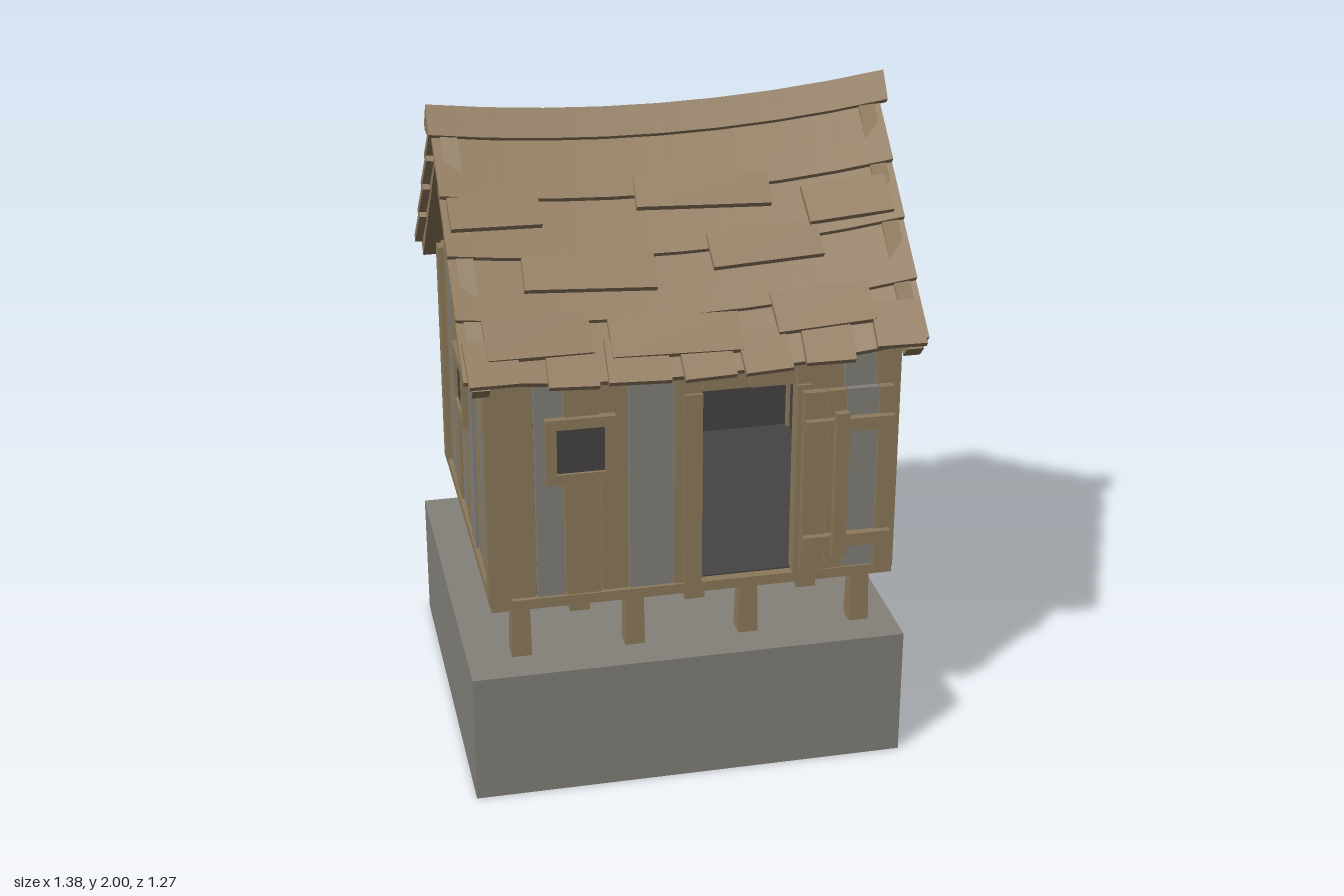
import * as THREE from 'three';
import { toCreasedNormals } from 'three/addons/utils/BufferGeometryUtils.js';

const mat = (name, color, side = THREE.FrontSide) => {
  const m = new THREE.MeshStandardMaterial({ color, side });
  m.name = name;
  return m;
};

export function createModel() {
  const wood = mat('brown wood', 0x8d7a5c);
  const roofWood = mat('roof wood', 0x937d60);
  const grey = mat('weathered grey', 0x84817a);
  const dark = mat('dark interior', 0x474345, THREE.DoubleSide);
  const model = new THREE.Group();

  const add = (name, geo, m, parent = model) => {
    const mesh = new THREE.Mesh(geo, m);
    mesh.name = name;
    parent.add(mesh);
    return mesh;
  };
  const group = (name) => {
    const g = new THREE.Group();
    g.name = name;
    model.add(g);
    return g;
  };
  // Box given by its minimum and maximum on each axis
  const box = (name, m, x0, x1, y0, y1, z0, z1, parent) => {
    const mesh = add(name, new THREE.BoxGeometry(x1 - x0, y1 - y0, z1 - z0), m, parent);
    mesh.position.set((x0 + x1) / 2, (y0 + y1) / 2, (z0 + z1) / 2);
    return mesh;
  };

  // Stone base, stilts and floor framing
  box('stoneBase', grey, -0.69, 0.63, 0, 0.41, -0.57, 0.62);
  const under = group('floorFrame');
  for (const x of [-0.525, -0.18, 0.17, 0.52])
    for (const z of [-0.475, 0.478]) {
      const stilt = add('stilt', new THREE.CylinderGeometry(0.038, 0.043, 0.19, 4, 1).rotateY(Math.PI / 4), wood, under);
      stilt.geometry = stilt.geometry.toNonIndexed();
      stilt.geometry.computeVertexNormals();
      stilt.position.set(x, 0.495, z);
    }
  for (const x of [-0.35, 0, 0.345]) box('joist', wood, x - 0.03, x + 0.03, 0.553, 0.59, -0.52, 0.52, under);
  box('floorSlab', wood, -0.615, 0.61, 0.58, 0.612, -0.53, 0.53, under);

  // Dark room behind the doorway
  const room = group('room');
  box('roomBack', dark, -0.57, 0.56, 0.613, 1.33, -0.49, -0.485, room);
  for (const x of [-0.57, 0.56]) box('roomSide', dark, x - 0.003, x + 0.003, 0.613, 1.33, -0.485, 0.485, room);
  box('roomFloor', dark, -0.57, 0.56, 0.612, 0.616, -0.485, 0.5, room);
  box('roomCeiling', dark, -0.57, 0.56, 1.315, 1.32, -0.485, 0.485, room);

  // Corner posts
  for (const x of [-0.587, 0.58])
    for (const z of [-0.497, 0.497]) box('cornerPost', wood, x - 0.033, x + 0.033, 0.6, 1.36, z - 0.033, z + 0.033);

  // Front and back planks: [x0, x1, isGrey, bottom]
  const frontPlanks = [[-0.56, -0.475, 0], [-0.475, -0.39, 1], [-0.39, -0.282, 0], [-0.282, -0.198, 0], [-0.198, -0.065, 1],
    [-0.065, 0.02, 0], [0.02, 0.16, 0, 1.23], [0.16, 0.3, 0, 1.23], [0.3, 0.39, 0], [0.39, 0.445, 0], [0.445, 0.54, 1], [0.54, 0.56, 0]];
  const backPlanks = [[-0.56, -0.5, 0], [-0.5, -0.35, 1], [-0.35, -0.235, 0], [-0.235, -0.14, 1], [-0.14, -0.04, 0],
    [-0.04, 0.065, 0], [0.065, 0.29, 1], [0.29, 0.375, 0], [0.375, 0.465, 0], [0.465, 0.545, 1], [0.545, 0.56, 0]];
  const wall = (name, planks, side) => {
    const g = group(name);
    planks.forEach(([x0, x1, isGrey, y0 = 0.61], i) => {
      const out = 0.515 + (i % 3) * 0.004;
      const [a, b] = side > 0 ? [0.49, out] : [-out, -0.49];
      box('plank', isGrey ? grey : wood, x0 + 0.002, x1 - 0.002, y0, 1.335, a, b, g);
    });
  };
  wall('frontWall', frontPlanks, 1);
  wall('backWall', backPlanks, -1);

  // Gable planks, cut to the roof slope: [z0, z1, isGrey]
  const rightPlanks = [[-0.465, -0.41, 0], [-0.41, -0.29, 1], [-0.29, -0.18, 0], [-0.18, -0.05, 0], [-0.05, 0.065, 1],
    [0.065, 0.16, 1], [0.16, 0.285, 0], [0.285, 0.385, 1], [0.385, 0.465, 0]];
  const leftPlanks = [[-0.465, -0.38, 0], [-0.38, -0.27, 1], [-0.27, -0.16, 0], [-0.16, -0.05, 1], [-0.05, 0.07, 0],
    [0.07, 0.18, 1], [0.18, 0.29, 0], [0.29, 0.4, 1], [0.4, 0.465, 0]];
  const gable = (name, planks, side) => {
    const g = group(name);
    const top = (z) => 1.905 - Math.abs(z);
    planks.forEach(([z0, z1, isGrey], i) => {
      const a = z0 + 0.002, b = z1 - 0.002;
      const pts = [[-b, 0.61], [-a, 0.61], [-a, top(a)]];
      if (a < 0 && b > 0) pts.push([0, top(0)]);
      pts.push([-b, top(b)]);
      const shape = new THREE.Shape(pts.map((p) => new THREE.Vector2(...p)));
      const geo = new THREE.ExtrudeGeometry(shape, { depth: 0.025, bevelEnabled: false }).rotateY(Math.PI / 2);
      const plank = add('gablePlank', geo, isGrey ? grey : wood, g);
      const out = 0.597 + (i % 3) * 0.004;
      plank.position.x = side > 0 ? out - 0.025 : -out - 0.005;
    });
  };
  gable('rightGable', rightPlanks, 1);
  gable('leftGable', leftPlanks, -1);

  // Windows: dark pane with a four-piece frame, built facing +z
  const windowAt = (x, y, z, turn) => {
    const g = group('window');
    box('pane', dark, -0.078, 0.078, -0.078, 0.078, 0.005, 0.012, g);
    for (const s of [-1, 1]) {
      const a = s * 0.087;
      box('frameRail', wood, -0.103, 0.103, a - 0.016, a + 0.016, -0.01, 0.022, g);
      box('frameStile', wood, a - 0.016, a + 0.016, -0.072, 0.072, -0.01, 0.021, g);
    }
    g.position.set(x, y, z);
    g.rotation.y = turn;
  };
  windowAt(-0.342, 1.087, 0.519, 0);
  windowAt(0.603, 1.087, 0.002, Math.PI / 2);
  windowAt(-0.608, 1.087, 0.002, -Math.PI / 2);

  // Doorway trim and the door leaf standing aside
  const door = group('door');
  box('jamb', wood, -0.035, 0.018, 0.61, 1.23, 0.48, 0.534, door);
  box('jamb', wood, 0.3, 0.34, 0.61, 1.23, 0.48, 0.534, door);
  box('doorBoard', wood, 0.315, 0.385, 0.63, 1.215, 0.535, 0.56, door);
  box('doorBoard', wood, 0.388, 0.443, 0.63, 1.215, 0.535, 0.557, door);
  box('doorBoard', grey, 0.446, 0.54, 0.63, 1.215, 0.535, 0.555, door);
  box('doorBoard', wood, 0.543, 0.585, 0.605, 1.215, 0.535, 0.56, door);
  for (const y of [0.73, 1.11]) box('doorBatten', wood, 0.318, 0.585, y - 0.02, y + 0.02, 0.555, 0.58, door);
  box('doorBar', wood, 0.4, 0.44, 0.69, 1.16, 0.58, 0.604, door);

  // Roof: 45 degree slopes that sag towards the middle
  const sag = (x) => 0.05 * (x / 0.69) ** 2 + 0.01 * (x / 0.69);
  const bend = (geo) => {
    const p = geo.attributes.position;
    for (let i = 0; i < p.count; i++) p.setY(i, p.getY(i) + sag(p.getX(i)));
    geo.computeVertexNormals();
    return geo;
  };
  const slope = Math.PI / 4;
  const roof = group('roof');
  for (const side of [-1, 1]) {
    for (const [z0, z1] of [[0, 0.18], [0.15, 0.313], [0.285, 0.452], [0.425, 0.585]]) {
      const z = (z0 + z1) / 2;
      const geo = new THREE.BoxGeometry(1.35, 0.022, (z1 - z0) * Math.SQRT2, 8, 1, 1);
      geo.rotateX(side * (slope - 0.09)).translate(-0.005, 1.89 - z, side * z);
      add('roofBoard', bend(geo), roofWood, roof);
    }
    for (const x of [-0.632, 0.627]) {
      const rafter = add('rafter', new THREE.BoxGeometry(0.05, 0.05, 0.83), wood, roof);
      rafter.position.set(x, 1.617 + Math.sign(x) * 0.008, side * 0.298);
      rafter.rotation.x = side * slope;
    }
  }

  // Loose shingles: [x, z, width, length, yaw]; the sign of z picks the slope
  const shingles = [
    [-0.53, 0.23, 0.265, 0.105, 0.02], [0.088, 0.2, 0.4, 0.105, -0.05], [0.51, 0.265, 0.255, 0.125, 0.05],
    [-0.28, 0.365, 0.385, 0.115, -0.04], [0.245, 0.337, 0.33, 0.115, 0.04],
    [-0.455, 0.505, 0.305, 0.13, 0.03], [-0.06, 0.513, 0.38, 0.125, -0.02], [0.38, 0.493, 0.29, 0.13, 0.04],
    [-0.5, -0.255, 0.265, 0.11, 0.03], [-0.165, -0.355, 0.35, 0.115, 0.03], [0.322, -0.23, 0.31, 0.115, -0.04],
    [-0.4, -0.51, 0.335, 0.13, -0.04], [0.105, -0.498, 0.365, 0.12, 0.03], [0.48, -0.52, 0.275, 0.13, -0.04],
    [-0.595, 0.562, 0.15, 0.145, 0.04], [-0.37, 0.567, 0.145, 0.14, -0.03], [-0.18, 0.562, 0.18, 0.14, -0.03],
    [0.02, 0.565, 0.15, 0.14, 0.03], [0.19, 0.568, 0.14, 0.135, 0.04], [0.375, 0.567, 0.145, 0.14, -0.03],
    [0.588, 0.56, 0.145, 0.145, -0.05],
    [-0.56, -0.567, 0.185, 0.15, -0.04], [-0.365, -0.57, 0.125, 0.14, 0.03], [-0.2, -0.57, 0.185, 0.14, -0.04],
    [0, -0.575, 0.15, 0.13, 0.02], [0.19, -0.57, 0.16, 0.145, -0.05], [0.365, -0.572, 0.18, 0.145, 0.03],
    [0.58, -0.575, 0.17, 0.13, 0.01],
  ];
  for (const [x, z, w, len, yaw] of shingles) {
    const mesh = add('shingle', new THREE.BoxGeometry(w, 0.02, len), roofWood, roof);
    mesh.position.set(x, 1.925 + sag(x) - Math.abs(z), z);
    // Follow the sag sideways and lift the lower edge a little
    mesh.rotation.set(Math.sign(z) * (slope - 0.1), yaw, 0.12 * x);
  }

  // Sagging ridge cap
  const capShape = new THREE.Shape([[0, 0], [-0.056, -0.075], [-0.04, -0.09], [0.04, -0.09], [0.056, -0.075]].map((p) => new THREE.Vector2(...p)));
  const cap = new THREE.ExtrudeGeometry(capShape, { depth: 1.38, steps: 8, bevelEnabled: false });
  cap.rotateY(Math.PI / 2).translate(-0.69, 1.94, 0);
  add('ridgeCap', toCreasedNormals(bend(cap), 0.3), roofWood, roof);

  return model;
}
